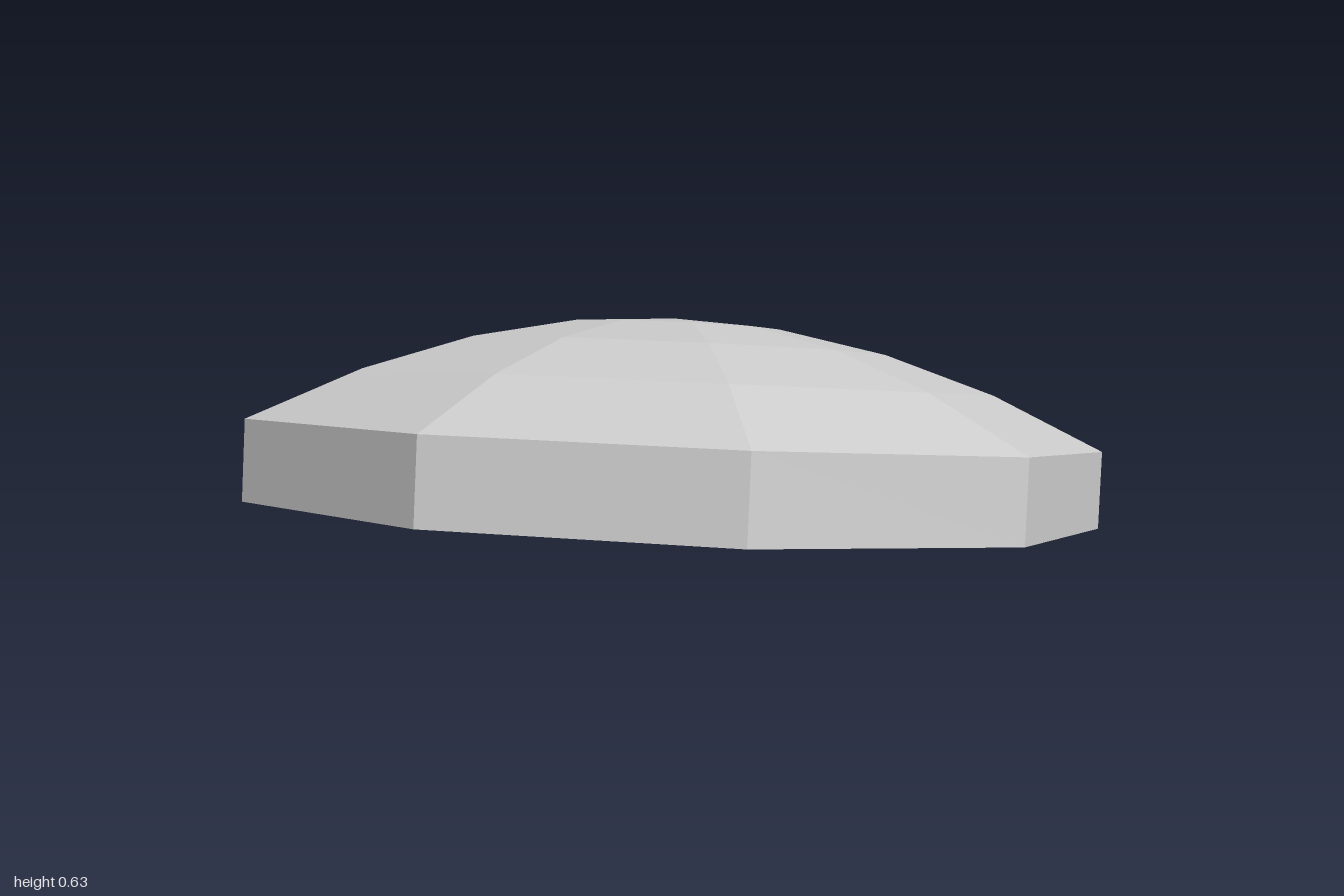
import * as THREE from 'three';

const SIDES = 10;
const RIM = 0.175; // height of the straight rim
const RISE = 0.267; // extra height of the dome above the rim

export function createModel() {
  const stone = new THREE.MeshStandardMaterial({ color: 0xcccccc, flatShading: true });
  stone.name = 'light grey';

  const model = new THREE.Group();
  model.name = 'tiltedDome';

  // Ten-sided turned part, profile listed from the bottom up
  const addTurned = (name, profile) => {
    const points = profile.map(([r, y]) => new THREE.Vector2(r, y));
    const mesh = new THREE.Mesh(new THREE.LatheGeometry(points, SIDES), stone);
    mesh.name = name;
    body.add(mesh);
  };

  const body = new THREE.Group();
  body.name = 'body';
  model.add(body);

  // Flat underside and straight rim
  addTurned('underside', [[0, 0], [0.998, 0]]);
  addTurned('rim', [[0.998, 0], [0.998, RIM]]);

  // Shallow faceted dome in four evenly spaced rings
  const dome = [0.998, 0.75, 0.5, 0.25, 0].map((r) => [r, RIM + RISE * (1 - r * r)]);
  dome[0][1] = RIM;
  addTurned('dome', dome);

  // The whole body leans back and to its left
  const axis = new THREE.Vector3(0.068, 1, -0.165).normalize();
  body.quaternion.setFromUnitVectors(new THREE.Vector3(0, 1, 0), axis);
  body.position.set(-0.005, 0.172, 0.014);

  return model;
}
